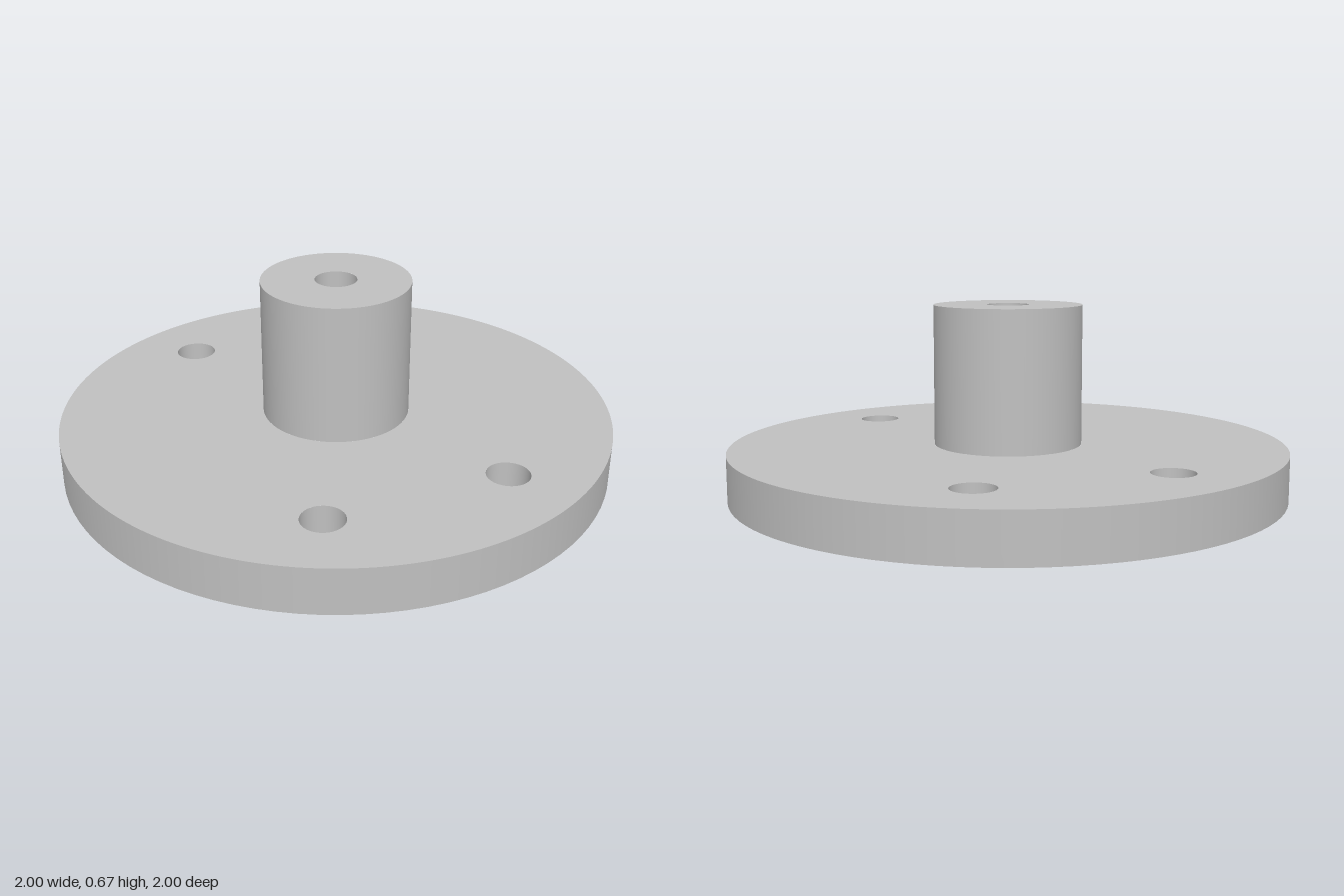
import * as THREE from 'three';

const SEG = 96;
const R = 1, HUB = 0.267, HOLE = 0.075, HEX = 0.133;
const PLATE_TOP = 0.167, HUB_TOP = 0.67, POCKET = 0.12;
const BOLTS = [[-0.333, -0.667], [0.333, -0.667], [-0.333, 0.667], [0.333, 0.667]];

export function createModel() {
  const group = new THREE.Group();
  const grey = new THREE.MeshStandardMaterial({ color: 0xc0c0c0 });
  grey.name = 'plain grey';

  const add = (name, geometry, x = 0, y = 0, z = 0) => {
    const mesh = new THREE.Mesh(geometry, grey);
    mesh.name = name;
    mesh.position.set(x, y, z);
    group.add(mesh);
  };

  // Round wall: faces outward when y1 > y0, inward when y1 < y0
  const wall = (r, y0, y1, sides = SEG) =>
    new THREE.LatheGeometry([new THREE.Vector2(r, y0), new THREE.Vector2(r, y1)], sides);

  const circle = (r, x = 0, y = 0, Type = THREE.Path) => new Type().absarc(x, y, r, 0, Math.PI * 2);
  const hexagon = (Type) => new Type().setFromPoints(Array.from({ length: 6 }, (_, i) =>
    new THREE.Vector2(HEX * Math.cos(i * Math.PI / 3), HEX * Math.sin(i * Math.PI / 3))));

  // Flat horizontal face with holes, facing up (1) or down (-1)
  const face = (outline, holes, direction) => {
    outline.holes.push(...holes);
    return new THREE.ShapeGeometry(outline, SEG).rotateX(-direction * Math.PI / 2);
  };
  const boltCircles = () => BOLTS.map(([x, z]) => circle(HOLE, x, z));

  // Flange plate
  add('flangeRim', wall(R, 0, PLATE_TOP));
  add('flangeTop', face(circle(R, 0, 0, THREE.Shape), [circle(HUB), ...boltCircles()], 1), 0, PLATE_TOP);
  add('flangeBottom', face(circle(R, 0, 0, THREE.Shape), [hexagon(THREE.Path), ...boltCircles()], -1));
  for (const [x, z] of BOLTS) add('boltHole', wall(HOLE, PLATE_TOP, 0), x, 0, z);

  // Hub with its through bore
  add('hubWall', wall(HUB, PLATE_TOP, HUB_TOP));
  add('hubTop', face(circle(HUB, 0, 0, THREE.Shape), [circle(HOLE)], 1), 0, HUB_TOP);
  add('hubBore', wall(HOLE, HUB_TOP, POCKET));

  // Hexagonal nut pocket under the hub
  const pocket = wall(HEX, POCKET, 0, 6).rotateY(Math.PI / 2).toNonIndexed();
  pocket.computeVertexNormals();
  add('nutPocketWall', pocket);
  add('nutPocketCeiling', face(hexagon(THREE.Shape), [circle(HOLE)], -1), 0, POCKET);

  return group;
}
